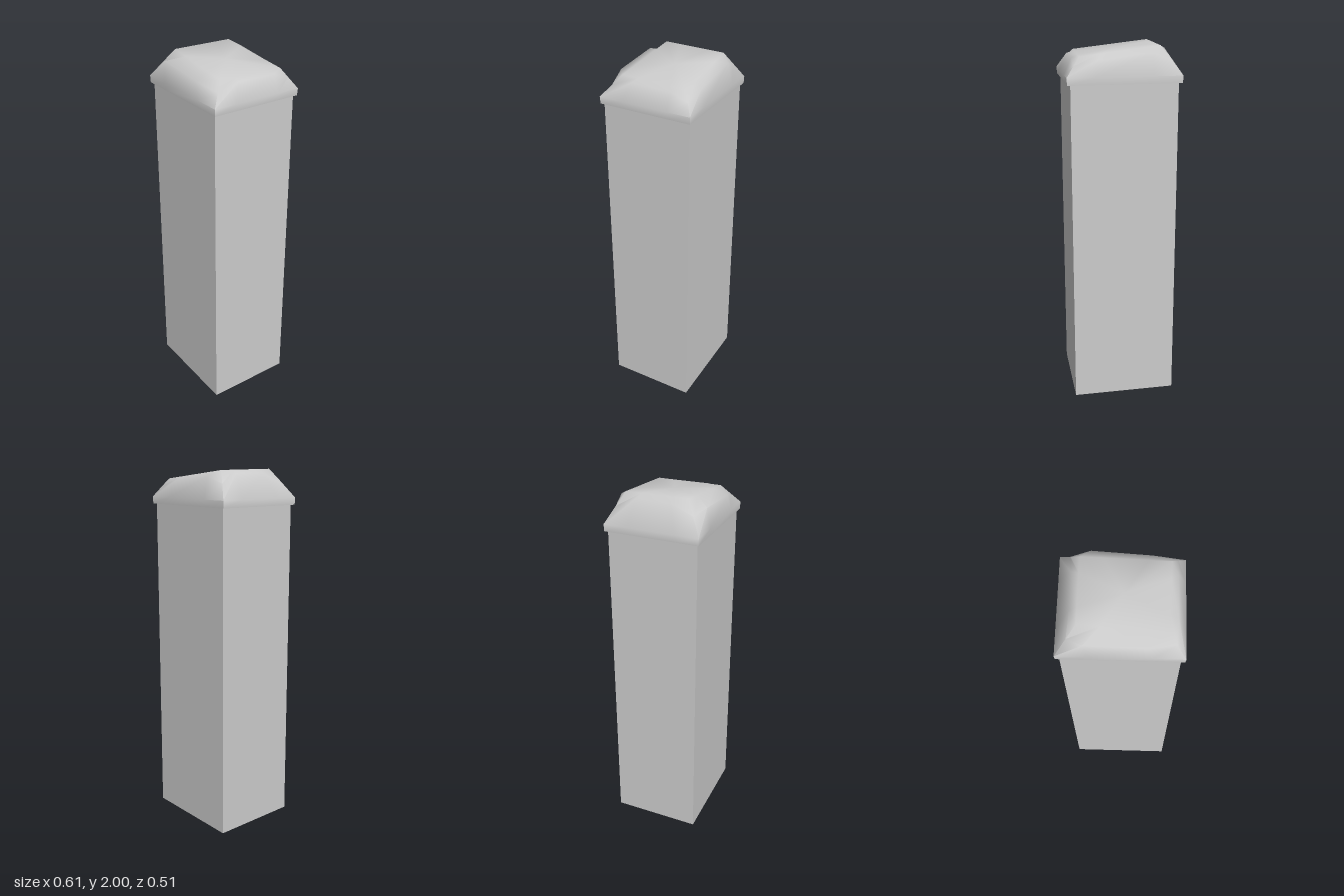
import * as THREE from 'three';
import { toCreasedNormals } from 'three/addons/utils/BufferGeometryUtils.js';

const material = new THREE.MeshStandardMaterial({ color: 0xcccccc, side: THREE.DoubleSide });

// Joins closed rings of points (counter-clockwise from above, bottom to top); optionally closes the top.
function loft(rings, closeTop, crease) {
  const n = rings[0].length;
  const points = rings.flat();
  const index = [];
  for (let r = 0; r < rings.length - 1; r++) {
    for (let i = 0; i < n; i++) {
      const a = r * n + i, b = r * n + (i + 1) % n;
      index.push(a, b, b + n, a, b + n, a + n);
    }
  }
  if (closeTop) {
    const start = (rings.length - 1) * n;
    const centre = new THREE.Vector3();
    rings.at(-1).forEach(p => centre.addScaledVector(p, 1 / n));
    points.push(centre);
    for (let i = 0; i < n; i++) index.push(points.length - 1, start + i, start + (i + 1) % n);
  }
  const geometry = new THREE.BufferGeometry().setFromPoints(points);
  geometry.setIndex(index);
  return toCreasedNormals(geometry, crease);
}

const vectors = list => list.map(p => new THREE.Vector3(...p));

// Corners in the order front -x, front +x, back +x, back -x
const rectangle = (x0, x1, z, y) => vectors([[x0, y, z], [x1, y, z], [x1, y, -z], [x0, y, -z]]);

// Adds two points along each side of a four-cornered ring
const subdivide = corners => corners.flatMap((p, i) => {
  const q = corners[(i + 1) % 4];
  return [p, p.clone().lerp(q, 0.25), p.clone().lerp(q, 0.75)];
});

export function createModel() {
  const group = new THREE.Group();
  const add = (name, geometry) => {
    const mesh = new THREE.Mesh(geometry, material);
    mesh.name = name;
    group.add(mesh);
  };

  // Hollow square post, open at the bottom
  add('post', loft([rectangle(-0.29, 0.287, 0.246, 0), rectangle(-0.286, 0.283, 0.244, 1.815)], false, 0.5));

  // Worn capstone: ledge, lip, bulging shoulder and sloping top
  const lip = rectangle(-0.306, 0.303, 0.257, 1.848);
  const top = vectors([[-0.2, 2, 0.16], [0.22, 1.952, 0.17], [0.23, 1.947, -0.195], [-0.2, 1.996, -0.18]]);
  const sides = [
    vectors([[-0.17, 1.958, 0.245], [0.12, 1.935, 0.244]]),
    vectors([[0.262, 1.94, 0.09], [0.262, 1.935, -0.13]]),
    vectors([[0.14, 1.93, -0.232], [-0.15, 1.965, -0.23]]),
    vectors([[-0.235, 1.978, -0.11], [-0.235, 1.978, 0.08]]),
  ];
  const shoulder = lip.flatMap((p, i) => [p.clone().lerp(top[i], 0.55), ...sides[i]]);
  add('capstone', loft([
    subdivide(rectangle(-0.284, 0.282, 0.243, 1.812)),
    subdivide(rectangle(-0.304, 0.3, 0.256, 1.81)),
    subdivide(lip),
    shoulder,
    subdivide(top),
  ], true, 1.2));

  return group;
}
